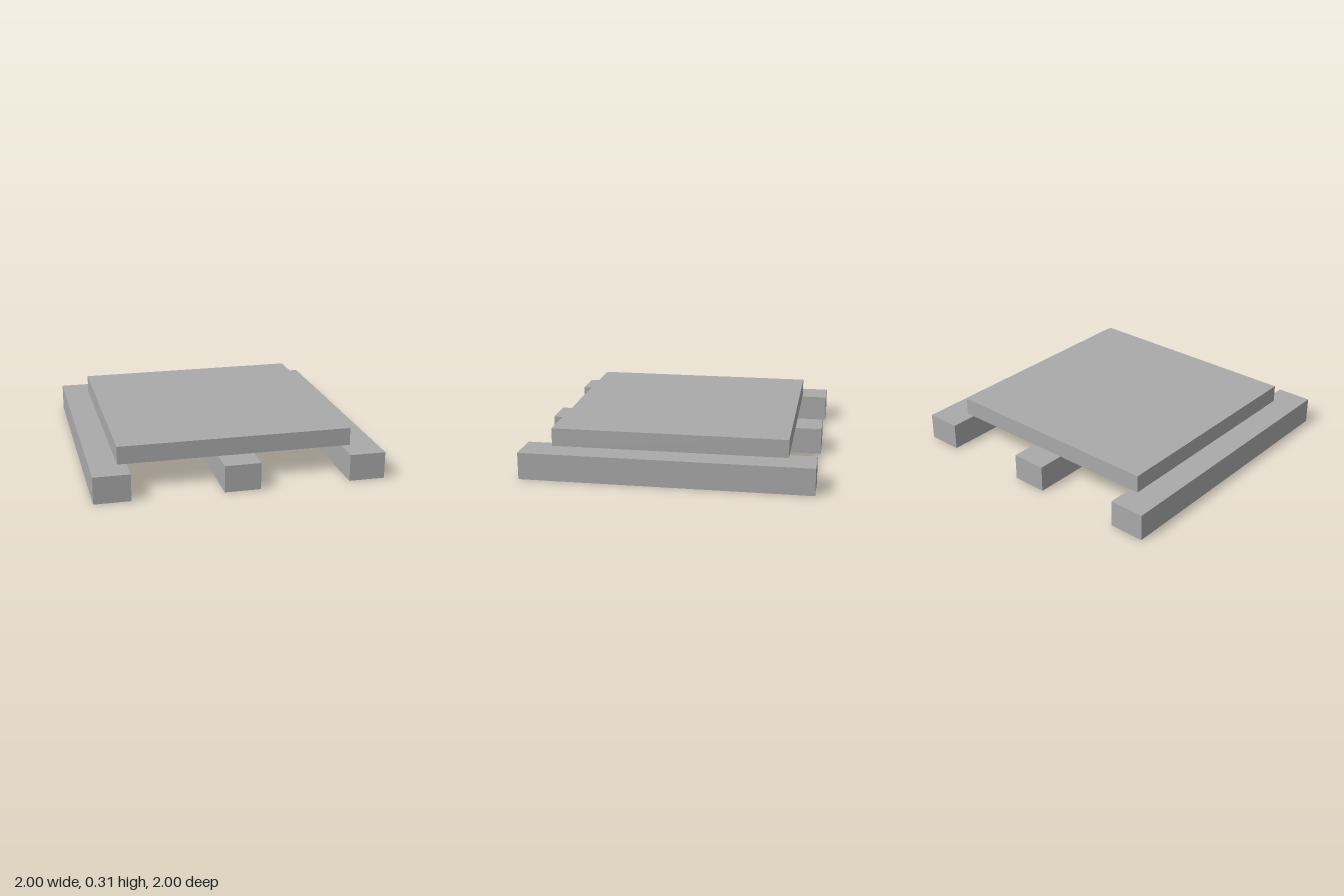
import * as THREE from 'three';
import { mergeGeometries } from 'three/addons/utils/BufferGeometryUtils.js';

const BEAM_TOP = 0.1875, DECK_TOP = 0.3125, DECK = 0.8125;

// Horizontal sheet between two x and two z limits, facing up or down
function sheet(x0, x1, z0, z1, y, up = true) {
  return new THREE.PlaneGeometry(x1 - x0, z1 - z0)
    .rotateX(up ? -Math.PI / 2 : Math.PI / 2)
    .translate((x0 + x1) / 2, y, (z0 + z1) / 2);
}

// Four outward walls around a rectangle
function walls(x0, x1, z0, z1, y0, y1) {
  const w = x1 - x0, d = z1 - z0;
  return [0, 1, 2, 3].map((i) =>
    new THREE.PlaneGeometry(i % 2 ? d : w, y1 - y0)
      .translate(0, 0, (i % 2 ? w : d) / 2)
      .rotateY(i * Math.PI / 2)
      .translate((x0 + x1) / 2, (y0 + y1) / 2, (z0 + z1) / 2));
}

export function createModel() {
  const group = new THREE.Group();
  const grey = new THREE.MeshStandardMaterial({ color: 0xaaaaaa, side: THREE.DoubleSide });
  grey.name = 'grey';

  const add = (name, parts) => {
    const mesh = new THREE.Mesh(mergeGeometries(parts), grey);
    mesh.name = name;
    group.add(mesh);
  };

  // Beams: hollow, open below, and open above where the deck covers them
  const beams = [['rightBeam', -1, -0.75], ['middleBeam', -0.125, 0.125], ['leftBeam', 0.75, 1]];
  for (const [name, x0, x1] of beams) {
    const parts = walls(x0, x1, -1, 1, 0, BEAM_TOP);
    parts.push(sheet(x0, x1, -1, -DECK, BEAM_TOP), sheet(x0, x1, DECK, 1, BEAM_TOP));
    if (x0 < -DECK) parts.push(sheet(x0, -DECK, -DECK, DECK, BEAM_TOP));
    if (x1 > DECK) parts.push(sheet(DECK, x1, -DECK, DECK, BEAM_TOP));
    add(name, parts);
  }

  // Deck: hollow slab whose underside is closed only between the beams
  add('deck', [
    ...walls(-DECK, DECK, -DECK, DECK, BEAM_TOP, DECK_TOP),
    sheet(-DECK, DECK, -DECK, DECK, DECK_TOP),
    sheet(-0.75, -0.125, -DECK, DECK, BEAM_TOP, false),
    sheet(0.125, 0.75, -DECK, DECK, BEAM_TOP, false),
  ]);

  return group;
}
